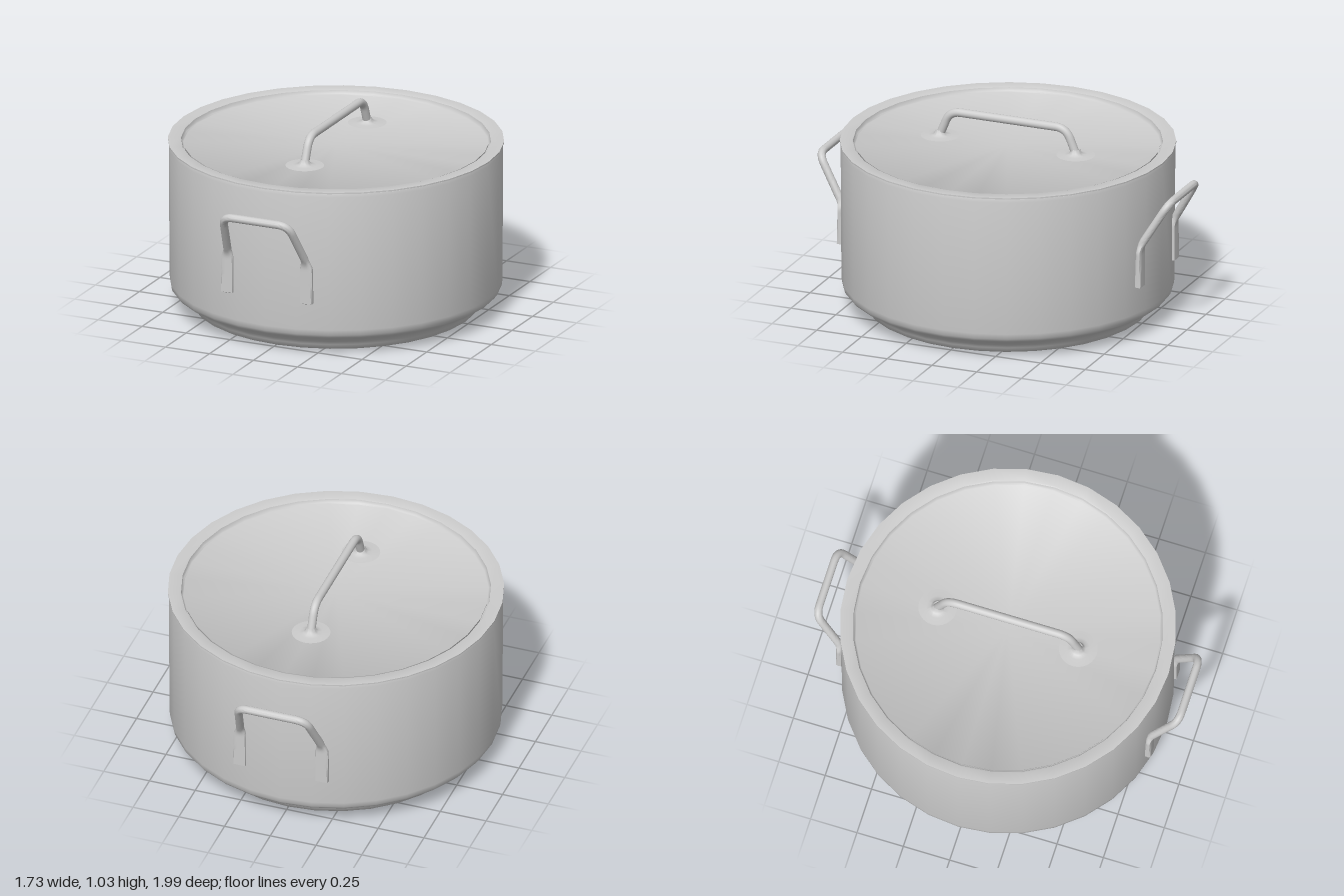
import * as THREE from 'three';
import { mergeVertices, toCreasedNormals } from 'three/addons/utils/BufferGeometryUtils.js';

const V = (x, y, z) => new THREE.Vector3(x, y, z);
const steel = new THREE.MeshStandardMaterial({ color: 0xcccccc });

function add(parent, name, geometry) {
  const mesh = new THREE.Mesh(geometry, steel);
  mesh.name = name;
  parent.add(mesh);
  return mesh;
}

function lathe(profile, segments) {
  const points = profile.map(([x, y]) => new THREE.Vector2(x, y));
  return toCreasedNormals(new THREE.LatheGeometry(points, segments), 0.7);
}

// Polyline with its inner corners rounded; radii has one entry per inner corner
function roundedPath(points, radii) {
  const path = new THREE.CurvePath();
  let from = points[0];
  for (let i = 1; i < points.length - 1; i++) {
    const p = points[i], r = radii[i - 1];
    const a = p.clone().add(points[i - 1].clone().sub(p).setLength(r));
    const b = p.clone().add(points[i + 1].clone().sub(p).setLength(r));
    path.add(new THREE.LineCurve3(from, a));
    path.add(new THREE.QuadraticBezierCurve3(a, p, b));
    from = b;
  }
  path.add(new THREE.LineCurve3(from, points[points.length - 1]));
  return path;
}

// Bent rod whose two lower ends are pressed into flat straps against the wall
function sideHandleGeometry() {
  const footX = 0.225, footZ = 0.833, rod = 0.021, sides = 16, steps = 110;
  const half = [V(footX, 0.28, footZ), V(footX - 0.003, 0.515, footZ + 0.005), V(0.185, 0.746, 0.976)];
  const points = [...half, ...half.slice().reverse().map(p => V(-p.x, p.y, p.z))];
  const path = roundedPath(points, [0.035, 0.06, 0.06, 0.035]);
  const geometry = new THREE.TubeGeometry(path, steps, rod, sides);
  const pos = geometry.attributes.position;
  for (let i = 0; i < pos.count; i++) {
    const ring = Math.floor(i / (sides + 1));
    const y = pos.getY(i);
    const flat = 1 - THREE.MathUtils.smoothstep(y, 0.475, 0.53);
    if (flat > 0) {
      // circle to square, then wide and thin
      const cx = Math.sign(pos.getX(i)) * footX;
      const dx = pos.getX(i) - cx, dz = pos.getZ(i) - footZ;
      const square = rod / Math.max(Math.abs(dx), Math.abs(dz), rod * 0.71);
      const k = THREE.MathUtils.lerp(1, square, flat * 0.85);
      pos.setX(i, cx + dx * k * (1 + 0.62 * flat));
      pos.setZ(i, footZ + dz * k * (1 - 0.25 * flat));
    }
    // close the strap ends
    if (ring === 0 || ring === steps) {
      pos.setXYZ(i, Math.sign(pos.getX(i)) * footX, 0.284, footZ);
    }
  }
  geometry.deleteAttribute('uv');
  geometry.deleteAttribute('normal');
  return toCreasedNormals(mergeVertices(geometry, 1e-5), 0.7);
}

export function createModel() {
  const group = new THREE.Group();
  group.name = 'cookingPot';

  // Body: stepped base, straight wall and hollow inside
  add(group, 'potBody', lathe([
    [0, 0], [0.72, 0], [0.734, 0.008], [0.743, 0.03], [0.757, 0.05], [0.78, 0.068],
    [0.815, 0.085], [0.84, 0.1], [0.853, 0.117], [0.857, 0.145], [0.861, 0.868],
    [0.857, 0.884], [0.842, 0.884], [0.838, 0.15], [0.8, 0.1], [0.72, 0.03], [0, 0.03],
  ], 32));

  // Lid: flat thin rim with a sunken middle
  const lid = new THREE.Group();
  lid.name = 'lid';
  group.add(lid);
  add(lid, 'lidPlate', lathe([
    [0, 0.858], [0.78, 0.858], [0.788, 0.888], [0.866, 0.888], [0.866, 0.895],
    [0.805, 0.895], [0.798, 0.892], [0.793, 0.875], [0.786, 0.87], [0, 0.87],
  ], 32));

  // Lid handle: bent rod with flared feet
  const lidPath = roundedPath(
    [V(0, 0.86, 0.385), V(0, 1.008, 0.325), V(0, 1.008, -0.325), V(0, 0.86, -0.385)], [0.06, 0.06]);
  add(lid, 'lidHandle', new THREE.TubeGeometry(lidPath, 80, 0.022, 16));
  for (const s of [1, -1]) {
    const foot = add(lid, 'lidHandleFoot', lathe(
      [[0.1, 0], [0.06, 0.002], [0.038, 0.005], [0.029, 0.014], [0.022, 0.032]], 24));
    foot.position.set(0, 0.87, s * 0.379);
  }

  // Side handles at front and back
  const handle = sideHandleGeometry();
  add(group, 'frontHandle', handle);
  add(group, 'backHandle', handle).rotation.y = Math.PI;

  return group;
}
